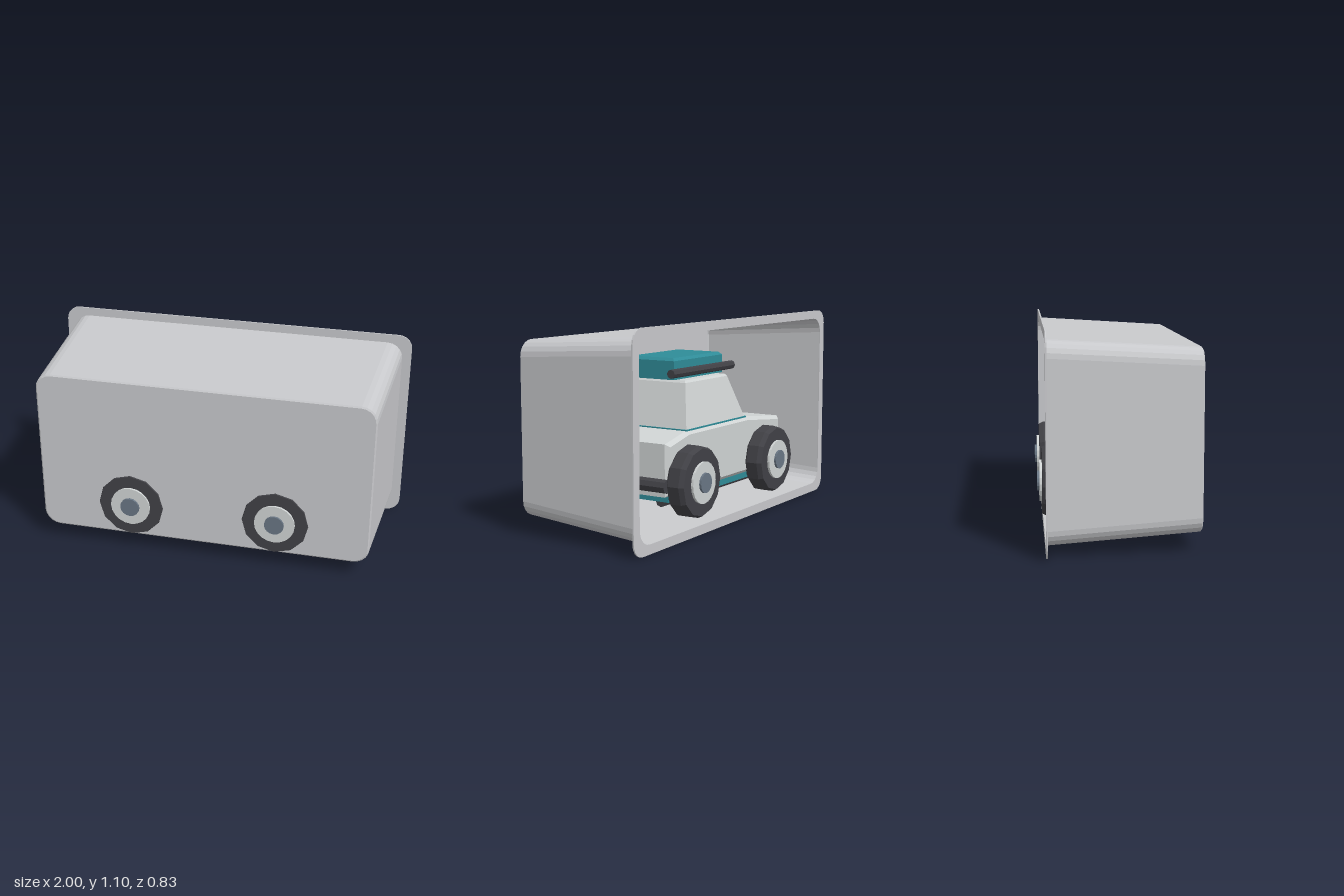
import * as THREE from 'three';

const mat = (name, color, extra = {}) =>
  Object.assign(new THREE.MeshStandardMaterial({ color, flatShading: true, ...extra }), { name });

// Skin consecutive closed loops of [x, y, z]; optional end caps
function loft(loops, capStart, capEnd) {
  const pos = [];
  const n = loops[0].length;
  const mid = (l) => [0, 1, 2].map((k) => l.reduce((s, p) => s + p[k], 0) / n);
  const first = loops[0], last = loops[loops.length - 1];
  for (let j = 0; j < n; j++) {
    const k = (j + 1) % n;
    for (let i = 0; i + 1 < loops.length; i++) {
      const a = loops[i], b = loops[i + 1];
      pos.push(...a[j], ...a[k], ...b[k], ...a[j], ...b[k], ...b[j]);
    }
    if (capStart) pos.push(...mid(first), ...first[k], ...first[j]);
    if (capEnd) pos.push(...mid(last), ...last[j], ...last[k]);
  }
  const g = new THREE.BufferGeometry();
  g.setAttribute('position', new THREE.Float32BufferAttribute(pos, 3));
  g.computeVertexNormals();
  return g;
}

// Rounded rectangle corner points, counter-clockwise
function roundedRect(hw, y0, y1, r, seg = 5) {
  const pts = [];
  const corners = [[hw - r, y1 - r], [-hw + r, y1 - r], [-hw + r, y0 + r], [hw - r, y0 + r]];
  corners.forEach(([cx, cy], q) => {
    for (let i = 0; i <= seg; i++) {
      const a = (q + i / seg) * Math.PI / 2;
      pts.push(new THREE.Vector2(cx + r * Math.cos(a), cy + r * Math.sin(a)));
    }
  });
  return pts;
}

export function createModel() {
  const model = new THREE.Group();
  const trayGray = mat('tray gray', 0xc8c9cc, { side: THREE.DoubleSide });
  const bodyGray = mat('body light gray', 0xd0d4d4);
  const teal = mat('teal', 0x2f8c98);
  const black = mat('rubber black', 0x414146);
  const hubBlue = mat('hub slate', 0x697684);

  const add = (parent, name, geo, material, x = 0, y = 0, z = 0) => {
    const m = new THREE.Mesh(geo, material);
    m.name = name;
    m.position.set(x, y, z);
    parent.add(m);
    return m;
  };

  // Tray: tapered shell, closed at the front and open at the back
  const tray = new THREE.Group();
  tray.name = 'tray';
  model.add(tray);
  const section = (hw, y0, y1, r, z) => roundedRect(hw, y0, y1, r).map((p) => [p.x, p.y, z]);
  add(tray, 'trayShell', loft([
    section(0.95, 0.05, 1.053, 0.085, -0.378),
    section(0.908, 0.094, 1.009, 0.085, 0.379),
    section(0.9, 0.102, 1.001, 0.08, 0.385),
  ], false, true), trayGray);

  const rim = new THREE.Shape(roundedRect(1, 0, 1.1, 0.075));
  rim.holes.push(new THREE.Path(roundedRect(0.95, 0.05, 1.053, 0.085).reverse()));
  add(tray, 'trayFlange', new THREE.ExtrudeGeometry(rim, { depth: 0.008, bevelEnabled: false }),
    trayGray, 0, 0, -0.383);

  // Car
  const car = new THREE.Group();
  car.name = 'car';
  model.add(car);

  // Lower body: side profile extruded across, with chamfered edges
  const profile = new THREE.Shape([[0.56, 0.21], [0.56, 0.485], [0.36, 0.53], [-0.25, 0.53],
    [-0.63, 0.49], [-0.63, 0.21]].map((p) => new THREE.Vector2(...p)));
  add(car, 'lowerBody', new THREE.ExtrudeGeometry(profile, {
    depth: 0.53, bevelSize: 0.02, bevelThickness: 0.02, bevelOffset: -0.02, bevelSegments: 1,
  }), bodyGray, 0, 0, -0.265);

  // Cabin
  const rect = (x0, x1, z, y) => [[x1, y, z], [x1, y, -z], [x0, y, -z], [x0, y, z]];
  add(car, 'cabin', loft([
    rect(-0.245, 0.365, 0.27, 0.52),
    rect(-0.135, 0.292, 0.216, 0.768),
    rect(-0.125, 0.282, 0.206, 0.78),
  ], true, true), bodyGray);
  add(car, 'cabinTrim', new THREE.BoxGeometry(0.618, 0.008, 0.546), teal, 0.06, 0.53, 0);

  // Roof box and rails
  add(car, 'roofBox', loft([
    rect(-0.19, 0.3, 0.15, 0.78),
    rect(-0.19, 0.3, 0.15, 0.88),
    rect(-0.175, 0.285, 0.135, 0.895),
  ], true, true), teal, 0, 0, 0);

  // Chassis
  add(car, 'chassisPlate', new THREE.BoxGeometry(1.1, 0.04, 0.52), teal, -0.03, 0.195, 0);

  const bar = (name, length, r, alongX, x, y, z) => {
    const g = new THREE.CylinderGeometry(r, r, length, 8);
    if (alongX) g.rotateZ(Math.PI / 2);
    else g.rotateX(Math.PI / 2);
    add(car, name, g, black, x, y, z);
  };
  for (const s of [1, -1]) {
    bar('roofRail', 0.62, 0.024, true, 0.05, 0.818, s * 0.17);
    bar('chassisRail', 1.0, 0.032, true, -0.03, 0.165, s * 0.18);
    bar('axle', 0.62, 0.03, false, s * 0.4, 0.275, 0);
  }
  bar('frontBumper', 0.58, 0.036, false, -0.645, 0.272, 0);
  bar('rearBumper', 0.58, 0.036, false, 0.575, 0.272, 0);

  // Wheels
  const tireGeo = new THREE.LatheGeometry([[0, 0.275], [0.16, 0.275], [0.19, 0.3], [0.19, 0.365],
    [0.178, 0.391], [0, 0.391]].map((p) => new THREE.Vector2(...p)), 12).rotateX(Math.PI / 2);
  const disc = (r, z0, z1, n) =>
    new THREE.CylinderGeometry(r, r, z1 - z0, n).rotateX(Math.PI / 2).translate(0, 0, (z0 + z1) / 2);
  const rimGeo = disc(0.11, 0.38, 0.404, 20);
  const hubGeo = disc(0.053, 0.39, 0.416, 16);
  for (const x of [0.4, -0.4]) {
    for (const turn of [0, Math.PI]) {
      const wheel = new THREE.Group();
      wheel.name = 'wheel';
      wheel.position.set(x, 0.276, 0);
      wheel.rotation.y = turn;
      add(wheel, 'tire', tireGeo, black);
      add(wheel, 'wheelRim', rimGeo, bodyGray);
      add(wheel, 'hubCap', hubGeo, hubBlue);
      car.add(wheel);
    }
  }
  return model;
}
